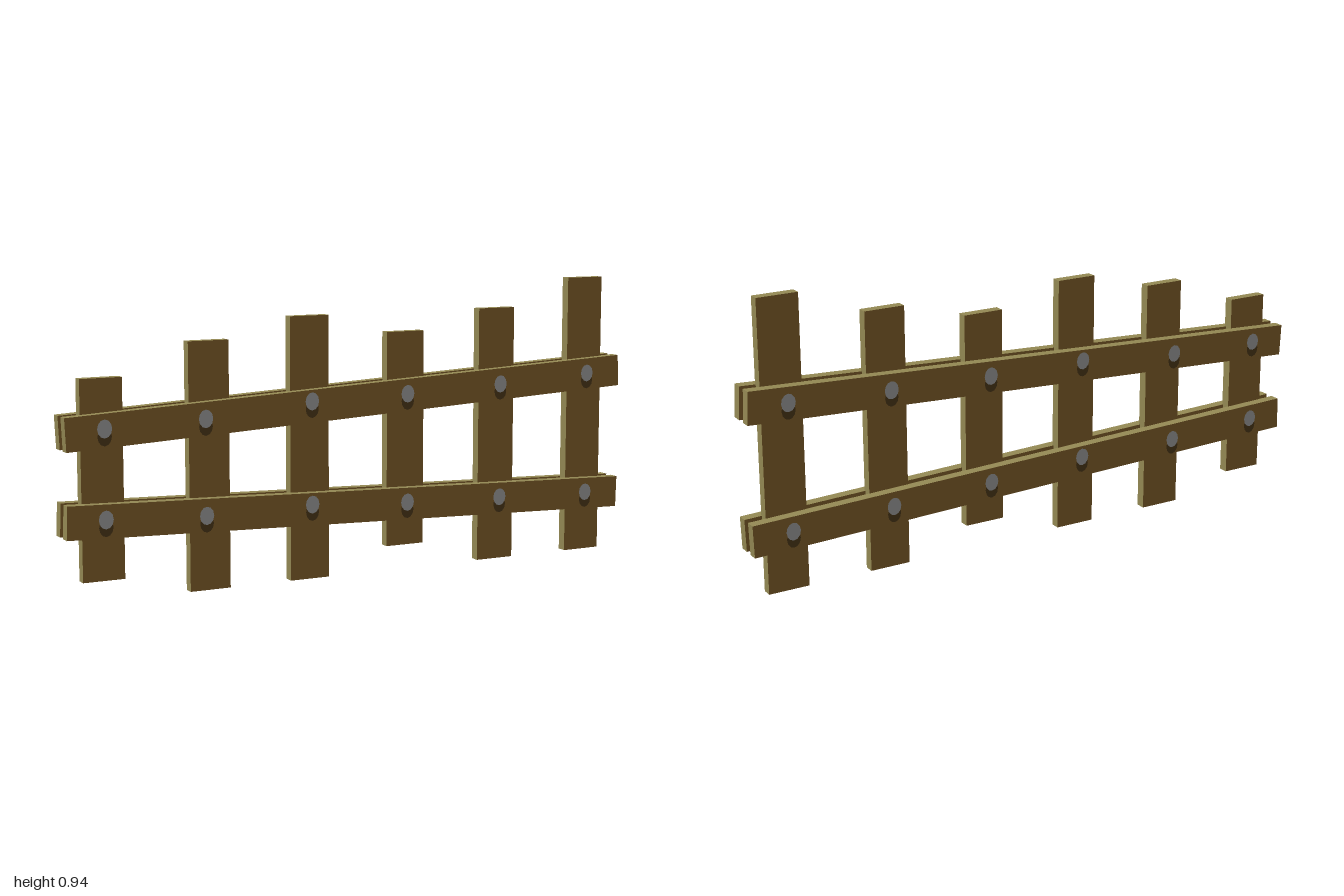
import * as THREE from 'three';

const flat = (name, color, side = THREE.FrontSide) => {
  const m = new THREE.MeshStandardMaterial({ color, side });
  m.name = name;
  return m;
};

export function createModel() {
  const model = new THREE.Group();
  model.name = 'plankFence';
  const woodFace = flat('brown wood face', 0x6d5022);
  const woodEdge = flat('pale cut edge', 0x968b55);
  const iron = flat('grey iron', 0x868686);
  const stain = flat('dark stain', 0x402e14);
  // broad faces brown, the four cut edges pale
  const plankMaterials = [woodEdge, woodEdge, woodEdge, woodEdge, woodFace, woodFace];

  function plank(name, w, h, d, x, y, z, tilt = 0) {
    const mesh = new THREE.Mesh(new THREE.BoxGeometry(w, h, d), plankMaterials);
    mesh.name = name;
    mesh.position.set(x, y, z);
    mesh.rotation.z = tilt;
    model.add(mesh);
  }

  // upright pickets: centre x, bottom, top
  [
    [-0.872, 0.064, 0.688], [-0.52, 0, 0.786], [-0.173, 0, 0.85],
    [0.175, 0.08, 0.786], [0.522, 0, 0.85], [0.873, 0, 0.942],
  ].forEach(([x, y0, y1], i) =>
    plank(`picket${i + 1}`, 0.136, y1 - y0, 0.033, x, (y0 + y1) / 2, 0.002));

  // tilted rails, doubled on the front and back
  const rails = [
    { name: 'upperRail', y: 0.5725, tilt: 0.048, nails: [0.535, 0.545, 0.578, 0.583, 0.596, 0.615] },
    { name: 'lowerRail', y: 0.227, tilt: -0.0305, nails: [0.257, 0.241, 0.246, 0.225, 0.214, 0.203] },
  ];
  const nailX = [-0.873, -0.543, -0.178, 0.168, 0.521, 0.866];
  const headGeometry = new THREE.CircleGeometry(1, 12);

  function disc(name, material, x, y, z, rx, ry, side) {
    const mesh = new THREE.Mesh(headGeometry, material);
    mesh.name = name;
    mesh.position.set(x, y, z * side);
    mesh.scale.set(rx, ry, 1);
    if (side < 0) mesh.rotation.y = Math.PI;
    model.add(mesh);
  }

  for (const rail of rails) {
    for (const side of [1, -1]) {
      const label = side > 0 ? 'Front' : 'Back';
      plank(rail.name + label, 1.995, 0.105, 0.034, 0, rail.y, 0.0305 * side, rail.tilt);
      // flat nail heads, each with a dark stain below
      rail.nails.forEach((y, i) => {
        disc(`nailStain${label}`, stain, nailX[i], y - 0.022, 0.0485, 0.023, 0.029, side);
        disc(`nailHead${label}`, iron, nailX[i], y + 0.002, 0.0495, 0.024, 0.029, side);
      });
    }
  }
  return model;
}
